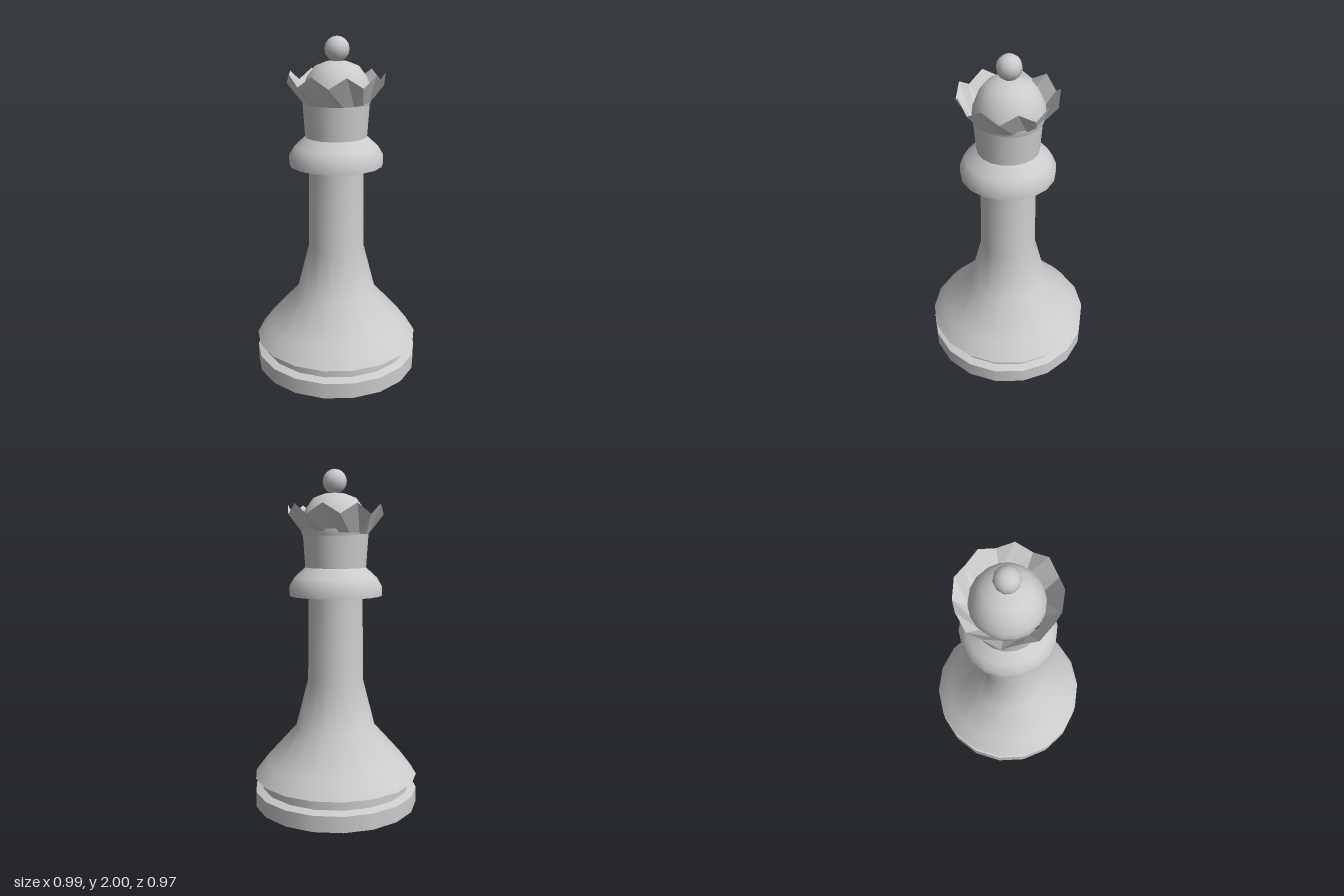
import * as THREE from 'three';

const SIDES = 18;
const material = new THREE.MeshStandardMaterial({ color: 0xcccccc });
const thinMaterial = new THREE.MeshStandardMaterial({
  color: 0xcccccc, flatShading: true, side: THREE.DoubleSide,
});

// Turned part: each run is a smooth [radius, y] profile; edges between runs stay sharp.
function turned(name, runs) {
  const group = new THREE.Group();
  group.name = name;
  runs.forEach((run, i) => {
    const points = run.map(([r, y]) => new THREE.Vector2(r, y));
    const mesh = new THREE.Mesh(new THREE.LatheGeometry(points, SIDES, Math.PI / 2), material);
    mesh.name = `${name}Surface${i + 1}`;
    group.add(mesh);
  });
  return group;
}

// Flared, open wall whose rim alternates between tips and notches.
function crownWall() {
  const ring = (i, r, y) => {
    const a = (i / SIDES) * Math.PI * 2;
    return [r * Math.cos(a), y, r * Math.sin(a)];
  };
  const positions = [];
  for (let i = 0; i < SIDES; i++) {
    const rim = (k) => ring(k, 0.28, k % 2 === 0 ? 1.8 : 1.74);
    const a = ring(i, 0.193, 1.63), b = ring(i + 1, 0.193, 1.63);
    const c = rim(i + 1), d = rim(i);
    positions.push(...a, ...d, ...c, ...a, ...c, ...b);
  }
  const geometry = new THREE.BufferGeometry();
  geometry.setAttribute('position', new THREE.Float32BufferAttribute(positions, 3));
  geometry.computeVertexNormals();
  const mesh = new THREE.Mesh(geometry, thinMaterial);
  mesh.name = 'crownWall';
  return mesh;
}

export function createModel() {
  const model = new THREE.Group();
  model.name = 'chessQueen';

  // Foot disc with a groove above it
  model.add(turned('foot', [
    [[0, 0], [0.494, 0]],
    [[0.494, 0], [0.494, 0.095]],
    [[0.494, 0.095], [0.45, 0.112]],
    [[0.45, 0.112], [0.45, 0.165]],
  ]));

  // Sweeping skirt and slender stem
  model.add(turned('stem', [
    [[0.45, 0.165], [0.494, 0.178]],
    [[0.494, 0.178], [0.42, 0.275], [0.24, 0.475], [0.167, 0.76], [0.16, 1.27]],
  ]));

  // Rounded collar
  model.add(turned('collar', [
    [[0.15, 1.265], [0.275, 1.27]],
    [[0.275, 1.27], [0.275, 1.325], [0.243, 1.378], [0.18, 1.435]],
  ]));

  // Neck below the crown
  model.add(turned('neck', [[[0.18, 1.435], [0.193, 1.63]]]));

  model.add(crownWall());

  // Domed cap inside the crown
  const dome = turned('dome', [
    [[0.19, 1.62], [0.203, 1.66], [0.197, 1.71], [0.17, 1.775], [0.125, 1.835], [0.06, 1.86], [0, 1.866]],
  ]);
  dome.position.z = -0.007;
  model.add(dome);

  // Ball finial
  const ball = new THREE.Mesh(new THREE.SphereGeometry(0.071, 10, 8), material);
  ball.name = 'finial';
  ball.position.set(0, 1.929, -0.007);
  model.add(ball);

  return model;
}
